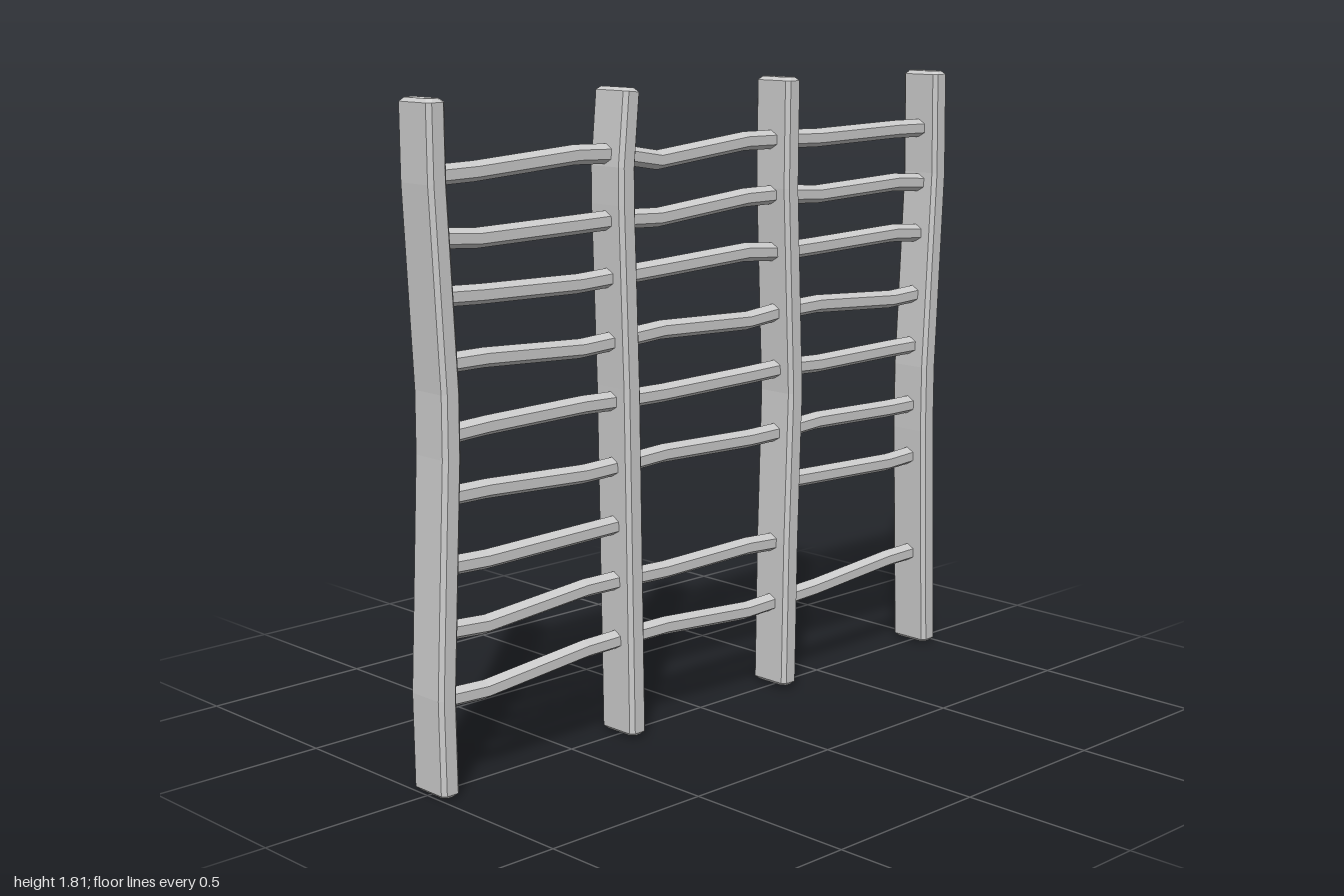
import * as THREE from 'three';

const material = new THREE.MeshStandardMaterial({ color: 0xcccccc, flatShading: true });

// Sweeps a convex [x, across] section along a bent path of [z, y] points; each
// path point may carry a third value, the amount its section is drawn in.
function sweep(name, path, section) {
  const n = section.length, positions = [], index = [];
  path.forEach(([z, y, inset = 0], i) => {
    const a = path[Math.max(i - 1, 0)], b = path[Math.min(i + 1, path.length - 1)];
    const t = new THREE.Vector2(b[0] - a[0], b[1] - a[1]).normalize();
    for (const [u, v] of section) {
      const across = v - Math.sign(v) * inset;
      positions.push(u - Math.sign(u) * inset, y + t.x * across, z - t.y * across);
    }
    if (i === 0) return;
    for (let k = 0; k < n; k++) {
      const p = (i - 1) * n + k, q = (i - 1) * n + (k + 1) % n;
      index.push(p, q, q + n, p, q + n, p + n);
    }
  });
  // End caps
  const last = (path.length - 1) * n;
  for (let k = 1; k < n - 1; k++) {
    index.push(0, k + 1, k, last, last + k, last + k + 1);
  }
  const indexed = new THREE.BufferGeometry();
  indexed.setAttribute('position', new THREE.Float32BufferAttribute(positions, 3));
  indexed.setIndex(index);
  const geometry = indexed.toNonIndexed();
  geometry.computeVertexNormals();
  const mesh = new THREE.Mesh(geometry, material);
  mesh.name = name;
  return mesh;
}

// Upright plank section: a rectangle with chamfered corners
const W = 0.065, D = 0.029, C = 0.011;
const plank = [
  [W, C - D], [W, D - C], [W - C, D], [C - W, D],
  [-W, D - C], [-W, C - D], [C - W, -D], [W - C, -D],
];

// Rung section: a hexagon with upright side faces
const hexagon = Array.from({ length: 6 }, (_, i) => {
  const a = (i + 0.5) * Math.PI / 3;
  return [0.027 * Math.cos(a), 0.027 * Math.sin(a)];
});

// Centre lines of the four posts as [z, y], bottom to top
const posts = [
  [[0.967, 0.003], [0.97, 0.27], [0.939, 0.9], [0.938, 1.07], [0.965, 1.6], [0.966, 1.81]],
  [[0.302, 0.008], [0.315, 1], [0.33, 1.5], [0.33, 1.6], [0.31, 1.81]],
  [[-0.313, 0.012], [-0.32, 0.45], [-0.335, 0.9], [-0.31, 1.5], [-0.313, 1.815]],
  [[-0.96, 0.009], [-0.937, 0.7], [-0.937, 0.9], [-0.968, 1.5], [-0.963, 1.81]],
];

// Rung heights per row: at each post, with two bends in every bay between
const rows = [
  [0.254, 0.247, 0.28, 0.283, 0.283, 0.259, 0.264, 0.27, 0.297, 0.3],
  [0.436, 0.425, 0.453, 0.452, 0.447, 0.454, 0.446],
  [0.607, 0.601, 0.609, 0.612, null, null, 0.626, 0.62, 0.608, 0.615],
  [0.79, 0.79, 0.774, 0.778, 0.786, 0.776, 0.779, 0.788, 0.778, 0.778],
  [0.95, 0.958, 0.964, 0.96, 0.958, 0.964, 0.968, 0.961, 0.965, 0.965],
  [1.137, 1.137, 1.12, 1.127, 1.137, 1.124, 1.137, 1.141, 1.12, 1.126],
  [1.31, 1.303, 1.296, 1.302, 1.308, 1.323, 1.311, 1.314, 1.323, 1.313],
  [1.46, 1.448, 1.454, 1.457, 1.45, 1.479, 1.479, 1.467, 1.478, 1.468],
  [1.615, 1.618, 1.639, 1.634, 1.607, 1.639, 1.637, 1.632, 1.638, 1.636],
];
const bendFractions = [0, 0.25, 0.78, 1];

// Depth position of a post's centre line at height y
function postZ(line, y) {
  const i = line.findIndex((point) => point[1] > y);
  const [za, ya] = line[i - 1], [zb, yb] = line[i];
  return THREE.MathUtils.mapLinear(y, ya, yb, za, zb);
}

// Point a short way from a towards b
function stepFrom(a, b, distance) {
  const f = distance / Math.hypot(b[0] - a[0], b[1] - a[1]);
  return [a[0] + (b[0] - a[0]) * f, a[1] + (b[1] - a[1]) * f];
}

export function createModel() {
  const model = new THREE.Group();
  model.name = 'crookedFence';

  // Posts, drawn in at both ends for the bevel
  posts.forEach((line, i) => {
    const n = line.length, first = line[0], last = line[n - 1];
    const path = [
      [...first, 0.01], stepFrom(first, line[1], 0.01),
      ...line.slice(1, -1),
      stepFrom(last, line[n - 2], 0.01), [...last, 0.01],
    ];
    model.add(sweep(`post${i + 1}`, path, plank));
  });

  // Rungs run from post to post, grouped by bay; two are missing
  for (let i = 0; i < posts.length - 1; i++) {
    const bay = new THREE.Group();
    bay.name = `rungBay${i + 1}`;
    rows.forEach((row, k) => {
      const heights = row.slice(3 * i, 3 * i + 4);
      if (heights.length < 4 || heights.includes(null)) return;
      const start = postZ(posts[i], heights[0]), end = postZ(posts[i + 1], heights[3]);
      const path = heights.map((y, j) => [THREE.MathUtils.lerp(start, end, bendFractions[j]), y]);
      bay.add(sweep(`rung${k + 1}`, path, hexagon));
    });
    model.add(bay);
  }
  return model;
}
